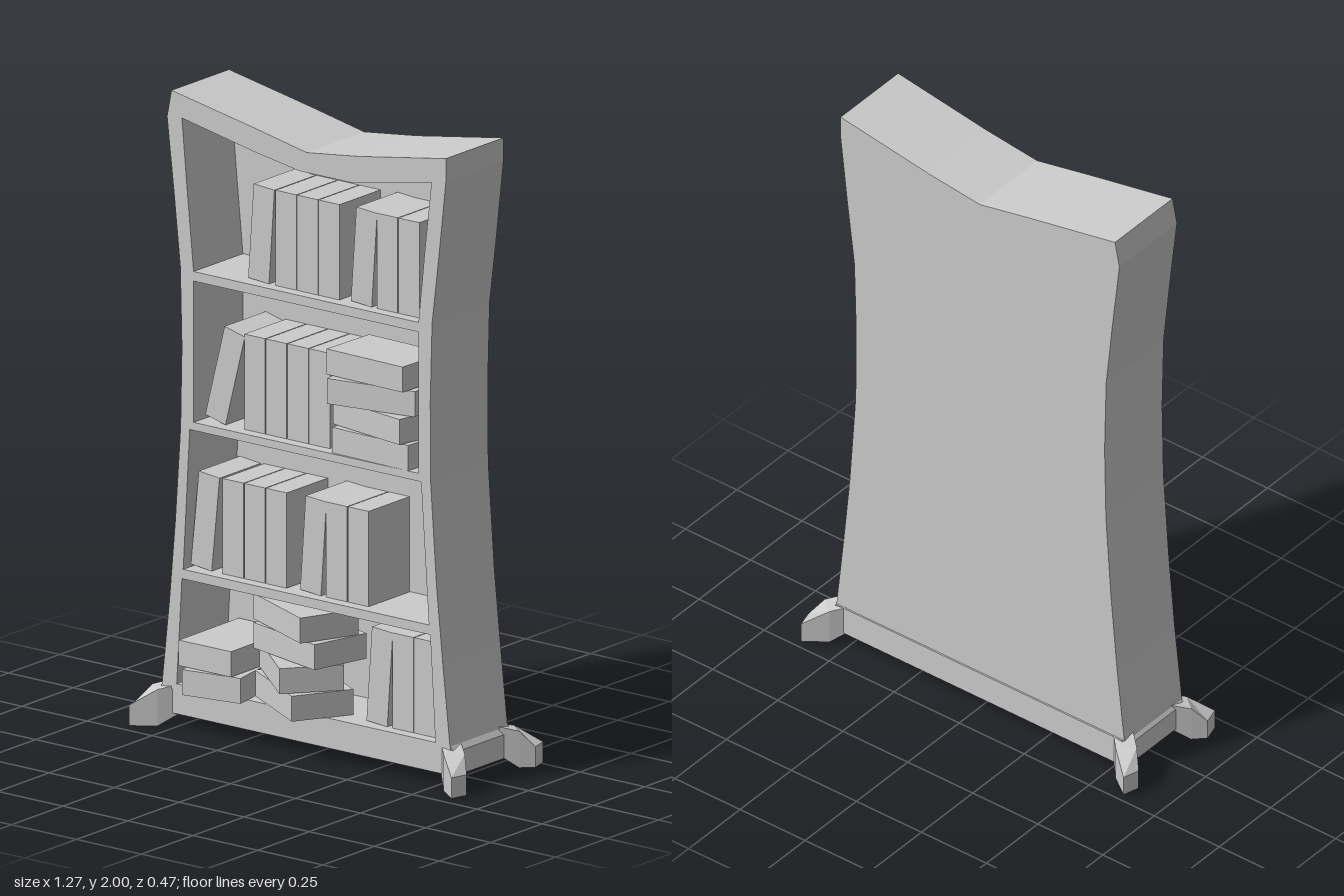
import * as THREE from 'three';

const material = new THREE.MeshStandardMaterial({ color: 0xcccccc, flatShading: true });
const FRONT = 0.13, INNER_BACK = -0.11, BACK = -0.15;
const BOOK = { thick: 0.08, tall: 0.3, deep: 0.2 };

function add(parent, name, geometry) {
  const mesh = new THREE.Mesh(geometry, material);
  mesh.name = name;
  parent.add(mesh);
  return mesh;
}

const toPoints = (list) => list.map(([x, y]) => new THREE.Vector2(x, y));

// Waisted outline of the case, with a sagging top
const outline = toPoints([
  [-0.557, 0.115], [0.555, 0.115], [0.55, 0.14], [0.523, 0.39], [0.5, 0.62], [0.477, 0.945], [0.475, 1.2],
  [0.482, 1.45], [0.51, 1.68], [0.535, 1.905], [0.535, 1.98], [0.2, 1.925], [0, 1.9],
  [-0.2, 1.94], [-0.52, 2], [-0.537, 1.915], [-0.51, 1.68], [-0.486, 1.45], [-0.48, 1.2],
  [-0.485, 0.945], [-0.505, 0.65], [-0.528, 0.39], [-0.555, 0.14],
]);

// Four compartments between the shelves
const openings = [
  [[-0.5, 0.135], [0.495, 0.135], [0.475, 0.47], [-0.48, 0.47]],
  [[-0.475, 0.5], [0.47, 0.5], [0.44, 0.945], [-0.45, 0.945]],
  [[-0.435, 0.97], [0.43, 0.97], [0.43, 1.415], [-0.435, 1.415]],
  [[-0.435, 1.445], [0.43, 1.445], [0.455, 1.68], [0.48, 1.895], [0.17, 1.837], [-0.03, 1.837],
    [-0.2, 1.865], [-0.48, 1.92], [-0.458, 1.68]],
];

function slab(holes, z0, z1) {
  const shape = new THREE.Shape(outline);
  shape.holes = holes.map((h) => new THREE.Path(toPoints(h)));
  return new THREE.ExtrudeGeometry(shape, { depth: z1 - z0, bevelEnabled: false }).translate(0, 0, z0);
}

// Plinth with a chamfered upper edge
function plinthGeometry() {
  const geo = new THREE.BoxGeometry(1.13, 0.095, 0.283, 1, 2, 1);
  const p = geo.attributes.position;
  for (let i = 0; i < p.count; i++) {
    const y = p.getY(i);
    if (y > 0.04) p.setX(i, Math.sign(p.getX(i)) * 0.55);
    p.setY(i, y < -0.04 ? 0.04 : y > 0.04 ? 0.134 : 0.115);
  }
  geo.translate(0, 0, -0.0135);
  geo.computeVertexNormals();
  return geo;
}

// Splayed foot: each section has inner and outer plan points, bottom and top
const footSections = [
  { a: [0.5, 0.11], b: [0.555, 0.08], y: [0.04, 0.13] },
  { a: [0.55, 0.16], b: [0.6, 0.12], y: [0.0, 0.115] },
  { a: [0.62, 0.21], b: [0.635, 0.155], y: [0.0, 0.065] },
];
function footGeometry(sx, sz) {
  const geo = new THREE.BoxGeometry(1, 1, 2, 1, 1, 2);
  const p = geo.attributes.position;
  for (let i = 0; i < p.count; i++) {
    const s = footSections[Math.round(p.getZ(i)) + 1];
    const [x, z] = p.getX(i) * sx * sz > 0 ? s.b : s.a;
    const y = s.y[p.getY(i) > 0 ? 1 : 0];
    p.setXYZ(i, sx * x, sz > 0 ? y : y + 0.01, sz > 0 ? z : -z - 0.025);
  }
  geo.computeVertexNormals();
  return geo;
}

// Upright book placed by its lower left corner, leaning to the right
function standingBook(parent, x, y, lean = 0) {
  const geo = new THREE.BoxGeometry(BOOK.thick, BOOK.tall, BOOK.deep);
  geo.translate(BOOK.thick / 2, BOOK.tall / 2, BOOK.deep / 2);
  const mesh = add(parent, 'standingBook', geo);
  mesh.position.set(x, y + Math.sin(lean) * BOOK.thick, INNER_BACK + 0.002);
  mesh.rotation.z = -lean;
}

// Lying book placed by its foremost corner; side 1 = right corner, -1 = left
function lyingBook(parent, x, z, y, angle, side, w, d) {
  const geo = new THREE.BoxGeometry(w, BOOK.thick, d);
  geo.translate((-side * w) / 2, BOOK.thick / 2, -d / 2);
  const mesh = add(parent, 'lyingBook', geo);
  mesh.position.set(x, y, z);
  mesh.rotation.y = -side * angle;
}

export function createModel() {
  const group = new THREE.Group();
  group.name = 'bookcase';

  add(group, 'caseFrame', slab(openings, INNER_BACK, FRONT));
  add(group, 'backPanel', slab([], BACK, INNER_BACK));
  add(group, 'plinth', plinthGeometry());
  for (const sx of [1, -1]) for (const sz of [1, -1]) add(group, 'foot', footGeometry(sx, sz));

  // Upright rows: shelf height, leaning book, its lean, first straight book, count
  const books = new THREE.Group();
  books.name = 'books';
  group.add(books);
  const rows = [
    [1.445, -0.255, 0.07, -0.15, 3], [1.445, 0.14, 0.07, 0.24, 2],
    [0.97, -0.42, 0.25, -0.27, 4],
    [0.5, -0.475, 0.1, -0.353, 3], [0.5, -0.055, 0.07, 0.045, 2],
    [0.135, 0.2, 0.07, 0.3, 2],
  ];
  for (const [y, leanX, lean, firstX, count] of rows) {
    standingBook(books, leanX, y, lean);
    for (let i = 0; i < count; i++) standingBook(books, firstX + i * 0.083, y);
  }

  // Stacks: each book is corner x, corner z, angle, side
  const stacks = [
    { y: 0.97, w: 0.3, d: 0.2, list: [[0.39, 0.13, 0.03, 1], [0.37, 0.147, 0.17, 1], [0.1, 0.157, 0.18, -1], [0.375, 0.138, 0.03, 1]] },
    { y: 0.135, w: 0.3, d: 0.2, list: [[0.02, 0.228, 0.52, 1], [-0.02, 0.238, 0.7, 1], [0.077, 0.19, 0.24, 1], [0.04, 0.212, 0.41, 1]] },
    { y: 0.135, w: 0.2, d: 0.295, list: [[-0.415, 0.212, 0.18, -1], [-0.445, 0.19, 0.01, -1]] },
  ];
  for (const { y, w, d, list } of stacks) {
    list.forEach(([x, z, angle, side], i) => lyingBook(books, x, z, y + i * 0.082, angle, side, w, d));
  }
  return group;
}
